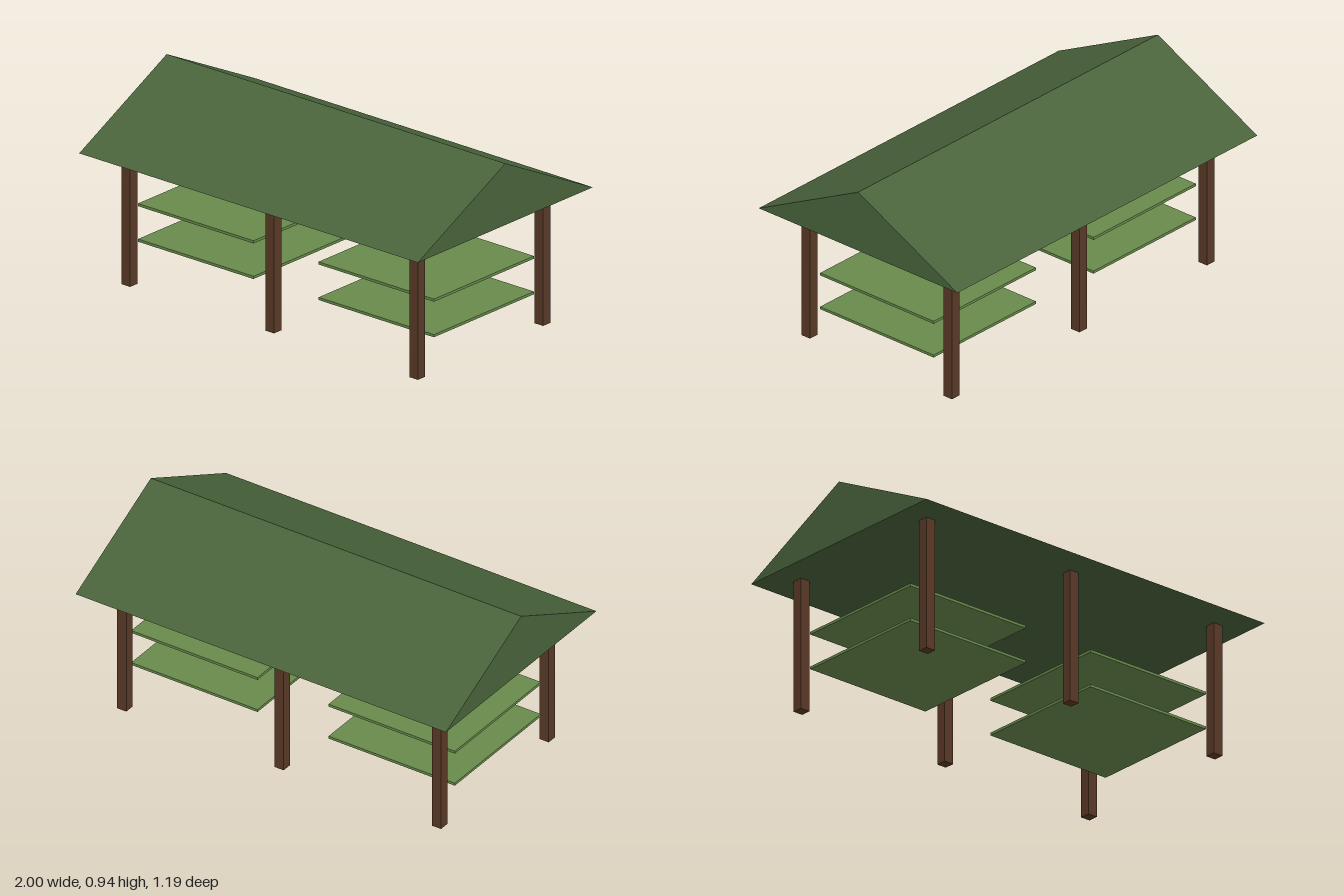
import * as THREE from 'three';

const material = (name, color) => {
  const m = new THREE.MeshStandardMaterial({ color });
  m.name = name;
  return m;
};

export function createModel() {
  const group = new THREE.Group();
  group.name = 'shelter';
  const roofGreen = material('roofGreen', 0x4a643c);
  const shelfGreen = material('shelfGreen', 0x688a4b);
  const wood = material('darkWood', 0x5a3a27);

  const add = (name, geometry, mat, x, y, z) => {
    const mesh = new THREE.Mesh(geometry, mat);
    mesh.name = name;
    mesh.position.set(x, y, z);
    group.add(mesh);
  };

  const eaveY = 0.641, ridgeY = 0.937, halfDepth = 0.597;

  // Solid gabled roof: a triangular section run along x
  const gable = new THREE.Shape([
    new THREE.Vector2(-halfDepth, 0),
    new THREE.Vector2(halfDepth, 0),
    new THREE.Vector2(0, ridgeY - eaveY),
  ]);
  const roof = new THREE.ExtrudeGeometry(gable, { depth: 2, bevelEnabled: false });
  roof.translate(0, 0, -1).rotateY(Math.PI / 2);
  add('roof', roof, roofGreen, 0, eaveY, 0);

  // Three square posts along each eave
  const post = new THREE.BoxGeometry(0.05, eaveY, 0.05);
  for (const x of [-0.85, 0, 0.85])
    for (const z of [-0.427, 0.427]) add('post', post, wood, x, eaveY / 2, z);

  // Two tiers of square shelves on each side
  const shelf = new THREE.BoxGeometry(0.682, 0.013, 0.682);
  for (const x of [-0.533, 0.533])
    for (const y of [0.1775, 0.3485]) add('shelf', shelf, shelfGreen, x, y, 0);

  return group;
}
